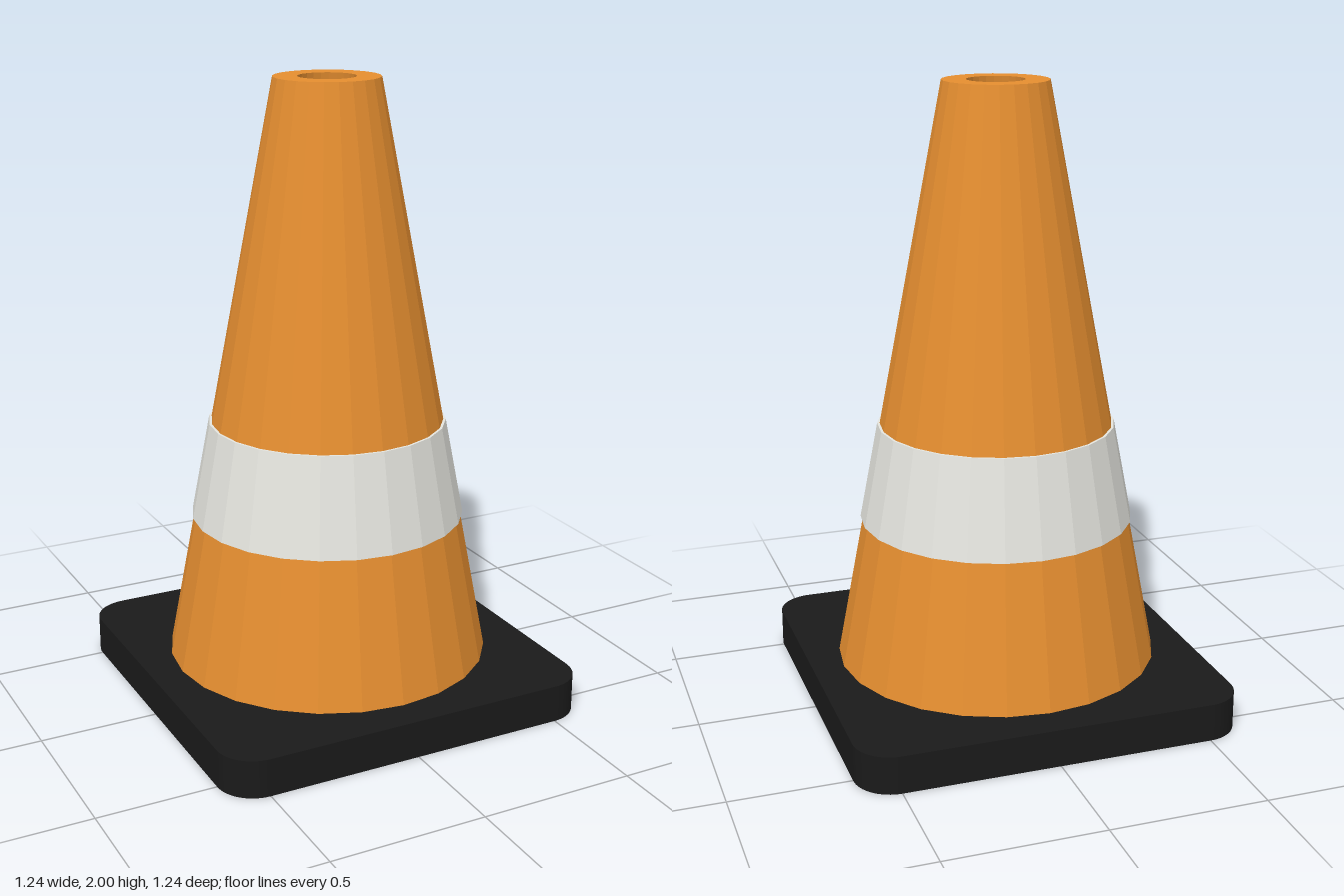
import * as THREE from 'three';

const SIDES = 24;

function mesh(name, geometry, color, flatShading) {
  const m = new THREE.Mesh(geometry, new THREE.MeshStandardMaterial({ color, flatShading }));
  m.name = name;
  return m;
}

// Faceted ring from a closed profile of [radius, height] points
function facetedRing(name, profile, color) {
  const points = [...profile, profile[0]].map(([r, y]) => new THREE.Vector2(r, y));
  return mesh(name, new THREE.LatheGeometry(points, SIDES), color, true);
}

// Square plate with rounded corners, lying flat on y = 0
function roundedPlate(half, radius, height) {
  const s = new THREE.Shape();
  const c = half - radius;
  s.absarc(c, c, radius, 0, Math.PI / 2);
  s.absarc(-c, c, radius, Math.PI / 2, Math.PI);
  s.absarc(-c, -c, radius, Math.PI, Math.PI * 1.5);
  s.absarc(c, -c, radius, Math.PI * 1.5, Math.PI * 2);
  s.closePath();
  return new THREE.ExtrudeGeometry(s, { depth: height, bevelEnabled: false, curveSegments: 8 })
    .rotateX(-Math.PI / 2);
}

export function createModel() {
  const group = new THREE.Group();

  group.add(mesh('base', roundedPlate(0.62, 0.12, 0.122), 0x1a1a1a, false));

  // Hollow cone: outer wall up, flat rim, inner wall down
  group.add(facetedRing('cone', [[0.522, 0.13], [0.167, 2], [0.091, 2], [0.446, 0.13]], 0xe58e30));

  // Reflective band, slightly proud of the cone
  group.add(facetedRing('reflectiveBand', [[0.42, 0.6], [0.441, 0.6], [0.381, 0.915], [0.36, 0.915]], 0xe4e4de));

  return group;
}
